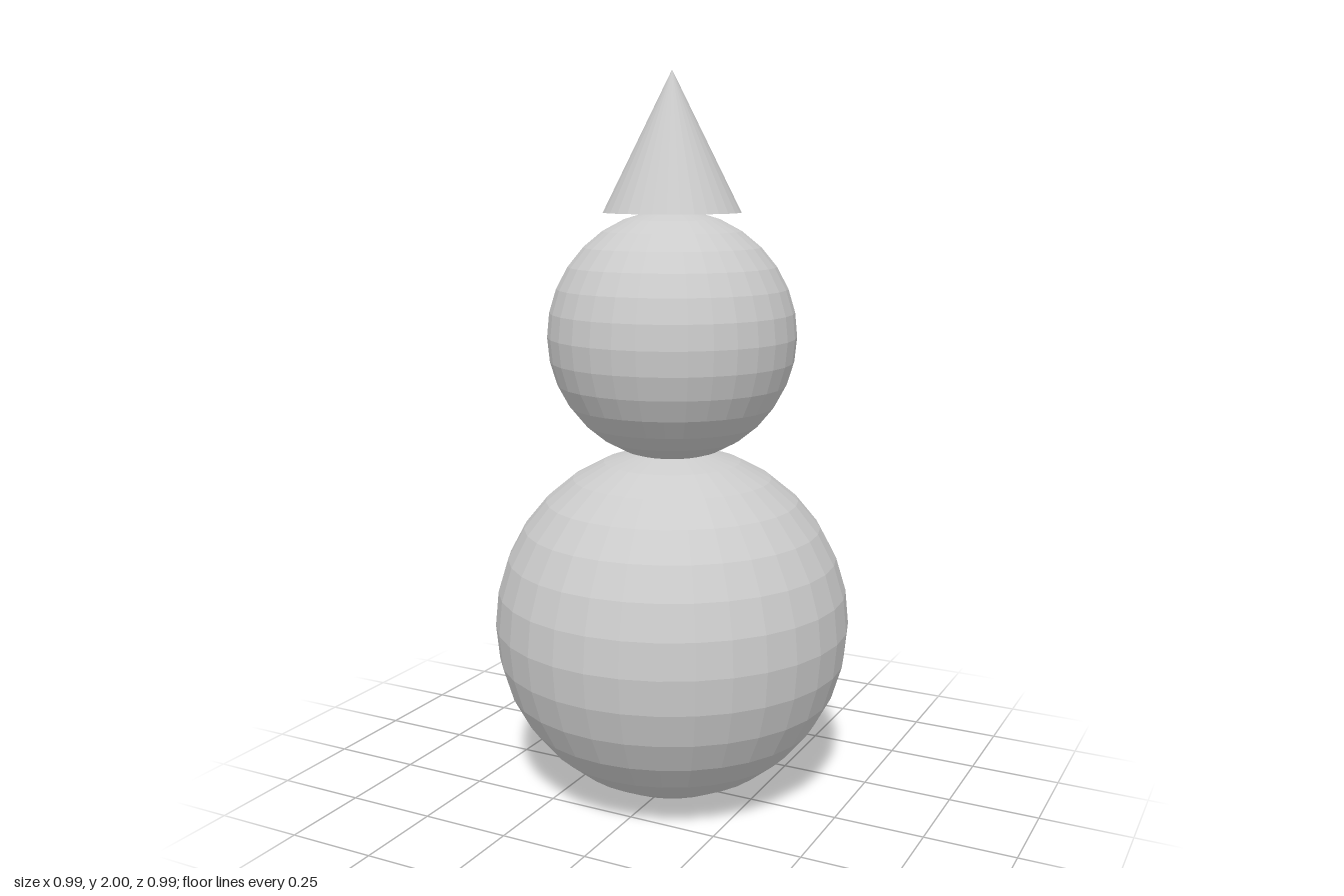
import * as THREE from 'three';

const SEGMENTS = 32;

export function createModel() {
  const model = new THREE.Group();
  model.name = 'snowman';
  const material = new THREE.MeshStandardMaterial({ color: 0xcccccc, flatShading: true });

  const add = (name, geometry, y) => {
    const mesh = new THREE.Mesh(geometry, material);
    mesh.name = name;
    mesh.position.y = y;
    model.add(mesh);
  };

  // Two stacked faceted balls
  add('body', new THREE.SphereGeometry(0.495, SEGMENTS, 16), 0.495);
  add('head', new THREE.SphereGeometry(0.339, SEGMENTS, 16), 1.299);

  // Closed cone resting on top of the head
  const hatHeight = 0.37;
  add('hat', new THREE.ConeGeometry(0.186, hatHeight, SEGMENTS), 2 - hatHeight / 2);

  return model;
}
